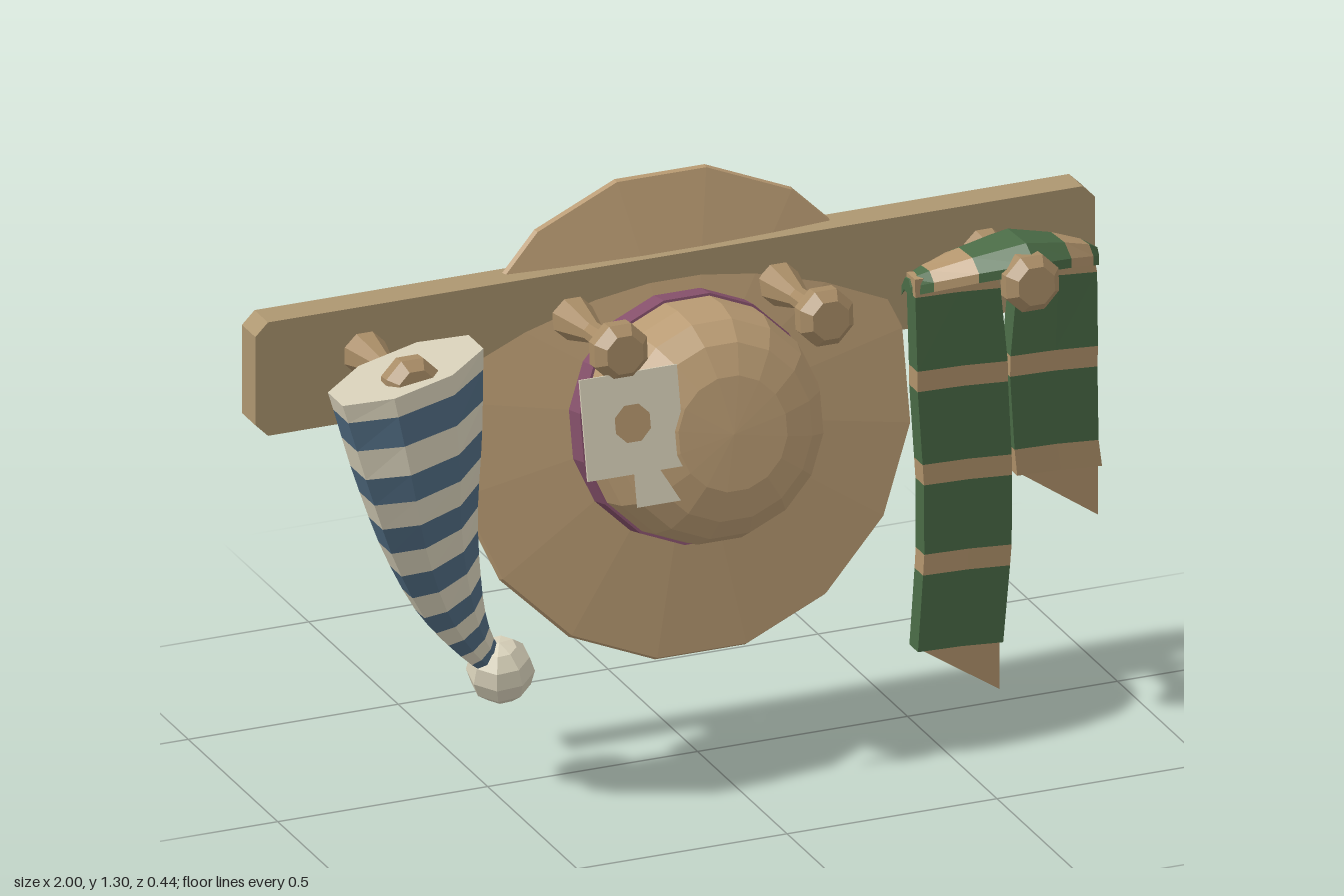
import * as THREE from 'three';

const mat = (name, color, side = THREE.FrontSide) =>
  Object.assign(new THREE.MeshStandardMaterial({ color, side }), { name });

const TILT = -0.212; // lean of the hat against the board

// Faceted copy of a geometry
function facet(geo) {
  const g = geo.index ? geo.toNonIndexed() : geo;
  g.computeVertexNormals();
  return g;
}

function addMesh(parent, name, geo, material) {
  const m = new THREE.Mesh(geo, material);
  m.name = name;
  parent.add(m);
  return m;
}

// Turned part whose axis points forward (+z), with flats at top and sides
function turned(points, sides) {
  const g = new THREE.LatheGeometry(points.map(p => new THREE.Vector2(p[0], p[1])), sides, Math.PI / sides);
  return facet(g.rotateX(Math.PI / 2));
}

// Skin closed rings of points; materialAt(i) colours the band after ring i
function loft(parent, name, rings, materialAt, caps = true) {
  const buckets = new Map();
  const tri = (m, ...pts) => {
    if (!buckets.has(m)) buckets.set(m, []);
    pts.forEach(p => buckets.get(m).push(p[0], p[1], p[2]));
  };
  const n = rings[0].length;
  for (let i = 0; i < rings.length - 1; i++) {
    const a = rings[i], b = rings[i + 1], m = materialAt(i);
    for (let j = 0; j < n; j++) {
      const k = (j + 1) % n;
      tri(m, a[j], b[j], b[k]);
      tri(m, a[j], b[k], a[k]);
    }
  }
  if (caps) {
    const last = rings[rings.length - 1];
    for (let j = 1; j < n - 1; j++) {
      tri(materialAt(0), rings[0][0], rings[0][j], rings[0][j + 1]);
      tri(materialAt(rings.length - 2), last[0], last[j + 1], last[j]);
    }
  }
  const group = new THREE.Group();
  group.name = name;
  for (const [m, pos] of buckets) {
    const g = new THREE.BufferGeometry();
    g.setAttribute('position', new THREE.Float32BufferAttribute(pos, 3));
    addMesh(group, `${name} ${m.name}`, facet(g), m);
  }
  parent.add(group);
}

const polygon = pts => new THREE.Shape(pts.map(p => new THREE.Vector2(p[0], p[1])));

export function createModel() {
  const model = new THREE.Group();
  model.name = 'hatRack';
  const D = THREE.DoubleSide;
  const wood = mat('wood', 0xad9670);
  const pegWood = mat('pegWood', 0xa88c66);
  const straw = mat('straw', 0xb89a72);
  const ribbon = mat('ribbon', 0x85506a);
  const cream = mat('cream', 0xd6cfb8, D);
  const blue = mat('blue', 0x4f6a80, D);
  const green = mat('green', 0x4a6b46, D);
  const tan = mat('tan', 0xb2946c, D);

  // Wall board with clipped corners
  const c = 0.03;
  const board = polygon([[-1 + c, 0.87], [1 - c, 0.87], [1, 0.87 + c], [1, 1.14 - c],
    [1 - c, 1.14], [-1 + c, 1.14], [-1, 1.14 - c], [-1, 0.87 + c]]);
  addMesh(model, 'board', facet(new THREE.ExtrudeGeometry(board, { depth: 0.075, bevelEnabled: false })), wood)
    .position.z = -0.2;

  // Four turned pegs
  const pegGeo = turned([[0, 0], [0.052, 0], [0.024, 0.12], [0.027, 0.2], [0.042, 0.225],
    [0.068, 0.245], [0.068, 0.275], [0.046, 0.3], [0, 0.3]], 8);
  for (const x of [-0.74, -0.245, 0.245, 0.735]) {
    const peg = addMesh(model, 'peg', pegGeo, pegWood);
    peg.position.set(x, 1.03, -0.127);
    peg.rotation.x = -0.09;
  }

  // Wide hat leaning on the board
  const hat = new THREE.Group();
  hat.name = 'hat';
  hat.position.set(0, 0.775, -0.1);
  hat.rotation.x = TILT;
  model.add(hat);
  addMesh(hat, 'brim', turned([[0, 0], [0.55, 0], [0.545, 0.012], [0.27, 0.045]], 16), straw);
  addMesh(hat, 'hatBand', turned([[0.283, 0.03], [0.28, 0.1], [0.26, 0.1]], 16), ribbon);
  addMesh(hat, 'crown', turned([[0.275, 0.09], [0.268, 0.17], [0.245, 0.235], [0.2, 0.28],
    [0.13, 0.305], [0, 0.312]], 16), straw);

  // Paper tag with a round spot and a loose strip below
  const tag = new THREE.Group();
  tag.name = 'tag';
  tag.position.set(-0.233, 0.897, 0.18);
  tag.rotation.x = TILT;
  model.add(tag);
  addMesh(tag, 'tagCard', new THREE.BoxGeometry(0.232, 0.228, 0.006), cream);
  addMesh(tag, 'tagSpot', new THREE.CircleGeometry(0.045, 8, Math.PI / 8), tan).position.z = 0.005;
  addMesh(tag, 'tagStrip', new THREE.ShapeGeometry(polygon(
    [[-0.005, -0.11], [-0.005, -0.19], [0.1, -0.19], [0.055, -0.11]])), cream);

  // Striped stocking cap, curving down to a pompom
  const path = new THREE.CatmullRomCurve3([[-0.738, 1.075, 0.1], [-0.712, 0.87, 0.105], [-0.675, 0.68, 0.085],
    [-0.615, 0.5, 0.055], [-0.545, 0.37, 0.025], [-0.48, 0.29, 0.01]].map(p => new THREE.Vector3(...p)));
  const radii = new THREE.CatmullRomCurve3([[0.185, 0.1], [0.15, 0.105], [0.115, 0.085],
    [0.08, 0.06], [0.045, 0.035], [0.025, 0.022]].map(p => new THREE.Vector3(p[0], p[1], 0)));
  const bands = 15;
  const capRings = [];
  for (let i = 0; i <= bands; i++) {
    const t = i === 0 ? 0 : (i - 0.35) / (bands - 0.35);
    const p = path.getPoint(t), r = radii.getPoint(t), d = path.getTangent(t);
    const ring = [];
    for (let j = 0; j < 8; j++) {
      const a = (j + 0.5) * Math.PI / 4;
      const u = Math.cos(a) * r.x / Math.cos(Math.PI / 8), v = Math.sin(a) * r.y / Math.cos(Math.PI / 8);
      ring.push([p.x - d.y * u, p.y + d.x * u, p.z + v - 0.2 * u]);
    }
    capRings.push(ring);
  }
  loft(model, 'stockingCap', capRings, i => (i % 2 ? blue : cream));
  const pom = addMesh(model, 'pompom', facet(new THREE.SphereGeometry(0.076, 8, 6)), cream);
  pom.position.set(-0.473, 0.282, 0.008);
  pom.rotation.set(0.2, 0.3, 0.15);

  // Scarf tails: [left, right, y, middle z], tan where marked
  const tail = (name, rows, tanBands) => loft(model, name, rows.map(([l, r, y, z]) => [
    [l, y, z - 0.026], [(l + r) / 2, y, z - 0.02], [r, y - 0.01, z - 0.026],
    [r, y - 0.01, z + 0.022], [(l + r) / 2, y, z + 0.028], [l, y, z + 0.022],
  ]), i => (tanBands.includes(i) ? tan : green));
  tail('longTail', [[0.515, 0.7, 1.045, -0.015], [0.517, 0.72, 1.0, -0.018], [0.525, 0.74, 0.82, -0.025],
    [0.527, 0.742, 0.77, -0.028], [0.543, 0.755, 0.59, -0.038], [0.547, 0.757, 0.54, -0.04],
    [0.552, 0.76, 0.37, -0.05], [0.55, 0.757, 0.32, -0.052], [0.542, 0.745, 0.135, -0.062]], [0, 2, 4, 6]);
  tail('shortTail', [[0.775, 0.94, 1.045, -0.015], [0.76, 0.95, 1.0, -0.018], [0.747, 0.955, 0.82, -0.025],
    [0.747, 0.955, 0.77, -0.028], [0.762, 0.962, 0.59, -0.038], [0.77, 0.972, 0.525, -0.042]], [0, 2, 4]);

  // Pointed scarf ends
  const fringe = (name, pts, z) =>
    addMesh(model, name, new THREE.ShapeGeometry(polygon(pts)), tan).position.z = z;
  fringe('longFringe', [[0.542, 0.14], [0.745, 0.005], [0.745, 0.13]], -0.062);
  fringe('shortFringe', [[0.77, 0.53], [0.972, 0.39], [0.972, 0.52]], -0.042);

  // Scarf fold arched over the peg: [x, top y, back z, front z]
  const half = [[0.225, 1.035, -0.065, -0.015], [0.19, 1.062, -0.085, 0.035], [0.11, 1.1, -0.09, 0.1]];
  const arch = [...half.map(([x, ...q]) => [-x, ...q]), [0, 1.133, -0.1, 0.155],
    ...half.slice().reverse()];
  const foldRings = arch.map(([x, y, b, f]) => {
    const drop = 0.5 - Math.abs(x), X = 0.738 + x, w = f - b;
    const top = [[b, y - 0.12 * drop], [b + 0.4 * w, y - 0.005], [f - 0.2 * w, y], [f, y - 0.06 * drop]];
    const under = top.slice().reverse().map(([z, h]) => [z, h - 0.022]);
    return [...top, ...under].map(([z, h]) => [X, h, z]);
  });
  loft(model, 'scarfFold', foldRings, i => (i === 1 || i === 4 ? tan : green));

  return model;
}
